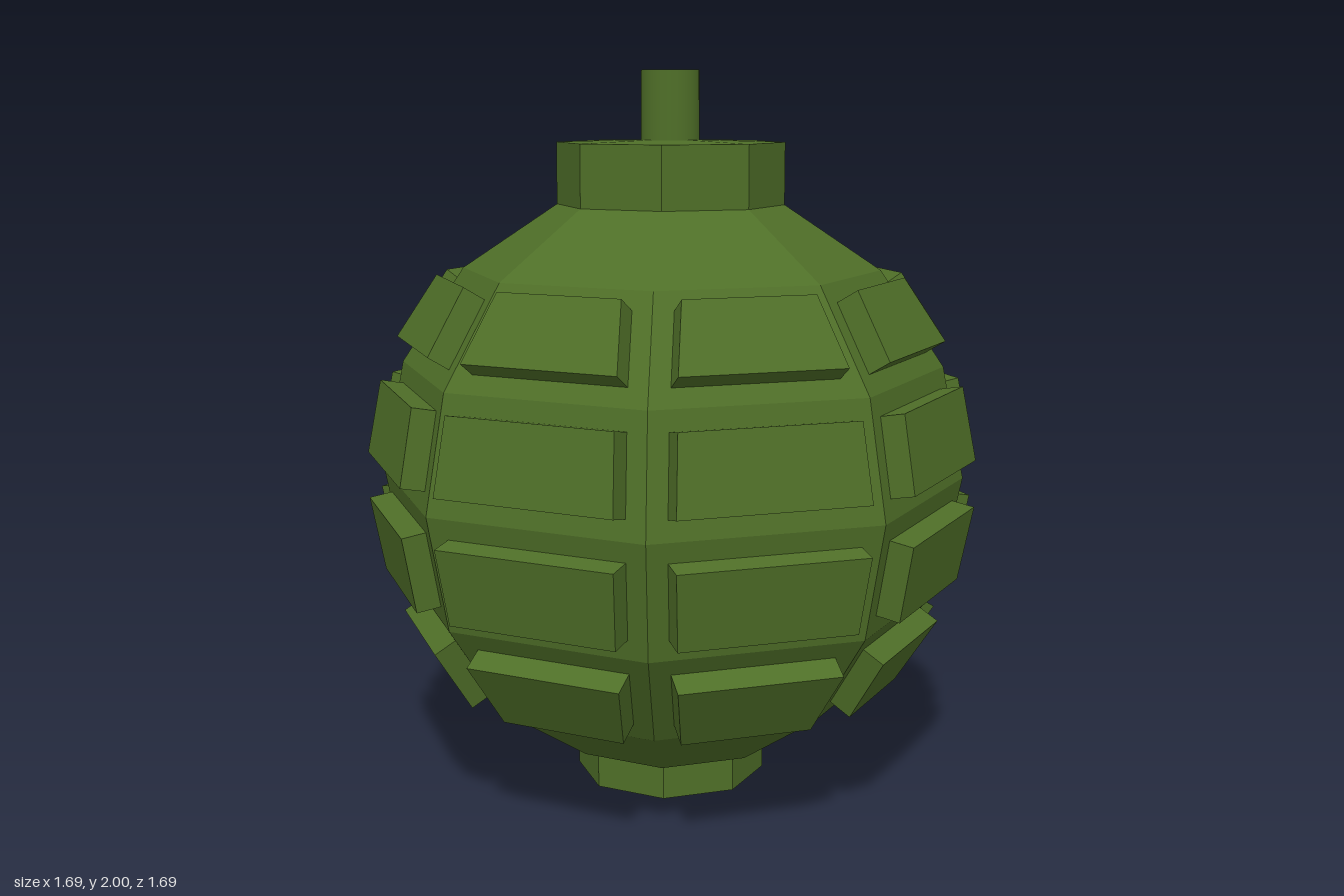
import * as THREE from 'three';

const R = 0.82, CENTRE_Y = 0.88, SIDES = 8, RINGS = 8;
const INSET = 0.055, DEPTH = 0.065;
const flat = new THREE.MeshStandardMaterial({ color: 0x4f6f28, flatShading: true });
const smooth = new THREE.MeshStandardMaterial({ color: 0x4f6f28 });

function add(parent, name, geometry, material = flat) {
  const mesh = new THREE.Mesh(geometry, material);
  mesh.name = name;
  parent.add(mesh);
  return mesh;
}

// Eight-sided turned part from [radius, height] pairs, bottom to top
function turned(points) {
  return new THREE.LatheGeometry(points.map(([r, y]) => new THREE.Vector2(r, y)), SIDES);
}

// Raised plate: one body facet inset evenly and extruded along its normal
function plateGeometry(ring) {
  const step = Math.PI / RINGS;
  const half = Math.PI / SIDES;
  const edge = (i) => ({
    y: R * Math.cos(i * step),
    apothem: R * Math.sin(i * step) * Math.cos(half),
    halfWidth: R * Math.sin(i * step) * Math.sin(half),
  });
  const top = edge(ring), bottom = edge(ring + 1);
  const rise = top.y - bottom.y, run = bottom.apothem - top.apothem;
  const slant = Math.hypot(rise, run);
  const slope = (top.halfWidth - bottom.halfWidth) / slant;
  const widthAt = (v) => bottom.halfWidth + slope * v - INSET * Math.hypot(1, slope);
  const low = INSET, high = slant - INSET;
  const shape = new THREE.Shape([
    new THREE.Vector2(-widthAt(low), low),
    new THREE.Vector2(widthAt(low), low),
    new THREE.Vector2(widthAt(high), high),
    new THREE.Vector2(-widthAt(high), high),
  ]);
  const geometry = new THREE.ExtrudeGeometry(shape, { depth: DEPTH, bevelEnabled: false });
  geometry.rotateX(-Math.atan2(run, rise));
  geometry.translate(0, bottom.y, bottom.apothem);
  return geometry;
}

export function createModel() {
  const model = new THREE.Group();
  model.name = 'segmentedShell';

  // Faceted round body
  add(model, 'body', new THREE.SphereGeometry(R, SIDES, RINGS)).position.y = CENTRE_Y;

  // Four rows of eight raised plates
  const plates = new THREE.Group();
  plates.name = 'plates';
  plates.position.y = CENTRE_Y;
  model.add(plates);
  for (let ring = 2; ring <= 5; ring++) {
    const geometry = plateGeometry(ring);
    for (let i = 0; i < SIDES; i++) {
      add(plates, 'plate', geometry).rotation.y = ((i + 0.5) / SIDES) * Math.PI * 2;
    }
  }

  // Base foot, neck cap and top pin
  add(model, 'baseFoot', turned([[0, 0], [0.267, 0.015], [0.267, 0.13]]));
  add(model, 'neckCap', turned([[0.314, 1.63], [0.314, 1.807], [0, 1.815]]));
  add(model, 'topPin', new THREE.CylinderGeometry(0.08, 0.08, 0.22, 32), smooth).position.y = 1.89;

  return model;
}
